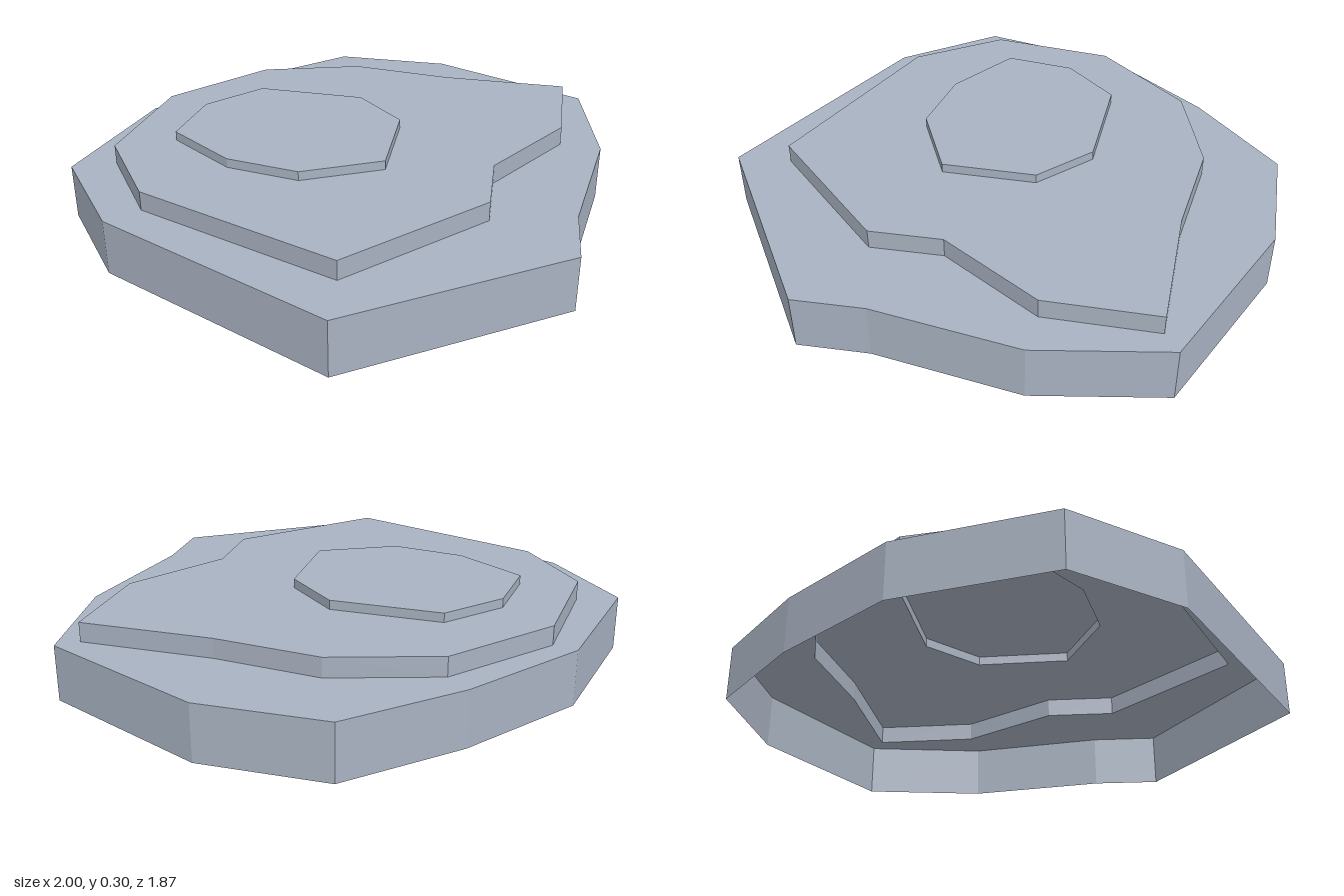
import * as THREE from 'three';

// Outline of each terrace as [x, z] corners, with its bottom and top heights
const TIERS = [
  {
    name: 'baseTerrace', bottom: 0, top: 0.198,
    outline: [[1, -0.17], [0.84, 0.26], [0.51, 0.665], [0.39, 0.885], [-0.44, 0.93], [-0.95, 0.165],
      [-1, -0.26], [-0.63, -0.66], [-0.18, -0.84], [0.26, -0.935], [0.635, -0.705]],
  },
  {
    name: 'middleTerrace', bottom: 0.198, top: 0.267,
    outline: [[0.915, -0.16], [0.72, 0.175], [0.35, 0.365], [0.225, 0.59], [-0.35, 0.75], [-0.82, 0.135],
      [-0.845, -0.235], [-0.57, -0.6], [-0.15, -0.74], [0.22, -0.645], [0.515, -0.41]],
  },
  {
    name: 'topTerrace', bottom: 0.267, top: 0.3,
    outline: [[0.16, -0.025], [-0.01, 0.265], [-0.31, 0.24], [-0.51, 0.065], [-0.63, -0.205],
      [-0.475, -0.405], [-0.235, -0.48], [0.095, -0.265]],
  },
];

// Upright wall around an outline, one flat quad per edge
function wallGeometry(outline, bottom, top) {
  const positions = [];
  outline.forEach(([ax, az], i) => {
    const [bx, bz] = outline[(i + 1) % outline.length];
    positions.push(ax, bottom, az, ax, top, az, bx, top, bz);
    positions.push(ax, bottom, az, bx, top, bz, bx, bottom, bz);
  });
  const geometry = new THREE.BufferGeometry();
  geometry.setAttribute('position', new THREE.Float32BufferAttribute(positions, 3));
  geometry.computeVertexNormals();
  return geometry;
}

// Flat ledge, cut out where the next terrace rises
function ledgeGeometry(outline, inner, height) {
  const toPoints = (corners) => corners.map(([x, z]) => new THREE.Vector2(x, -z));
  const shape = new THREE.Shape(toPoints(outline));
  if (inner) shape.holes.push(new THREE.Path(toPoints(inner)));
  return new THREE.ShapeGeometry(shape).rotateX(-Math.PI / 2).translate(0, height, 0);
}

export function createModel() {
  const model = new THREE.Group();
  model.name = 'steppedRock';
  // The shell is hollow and open underneath, so both sides show
  const stone = new THREE.MeshStandardMaterial({ color: 0xa8b2c1, side: THREE.DoubleSide, flatShading: true });
  stone.name = 'blue grey stone';

  TIERS.forEach(({ name, outline, bottom, top }, i) => {
    const terrace = new THREE.Group();
    terrace.name = name;
    const wall = new THREE.Mesh(wallGeometry(outline, bottom, top), stone);
    wall.name = 'wall';
    const ledge = new THREE.Mesh(ledgeGeometry(outline, TIERS[i + 1]?.outline, top), stone);
    ledge.name = 'ledge';
    terrace.add(wall, ledge);
    model.add(terrace);
  });
  return model;
}
